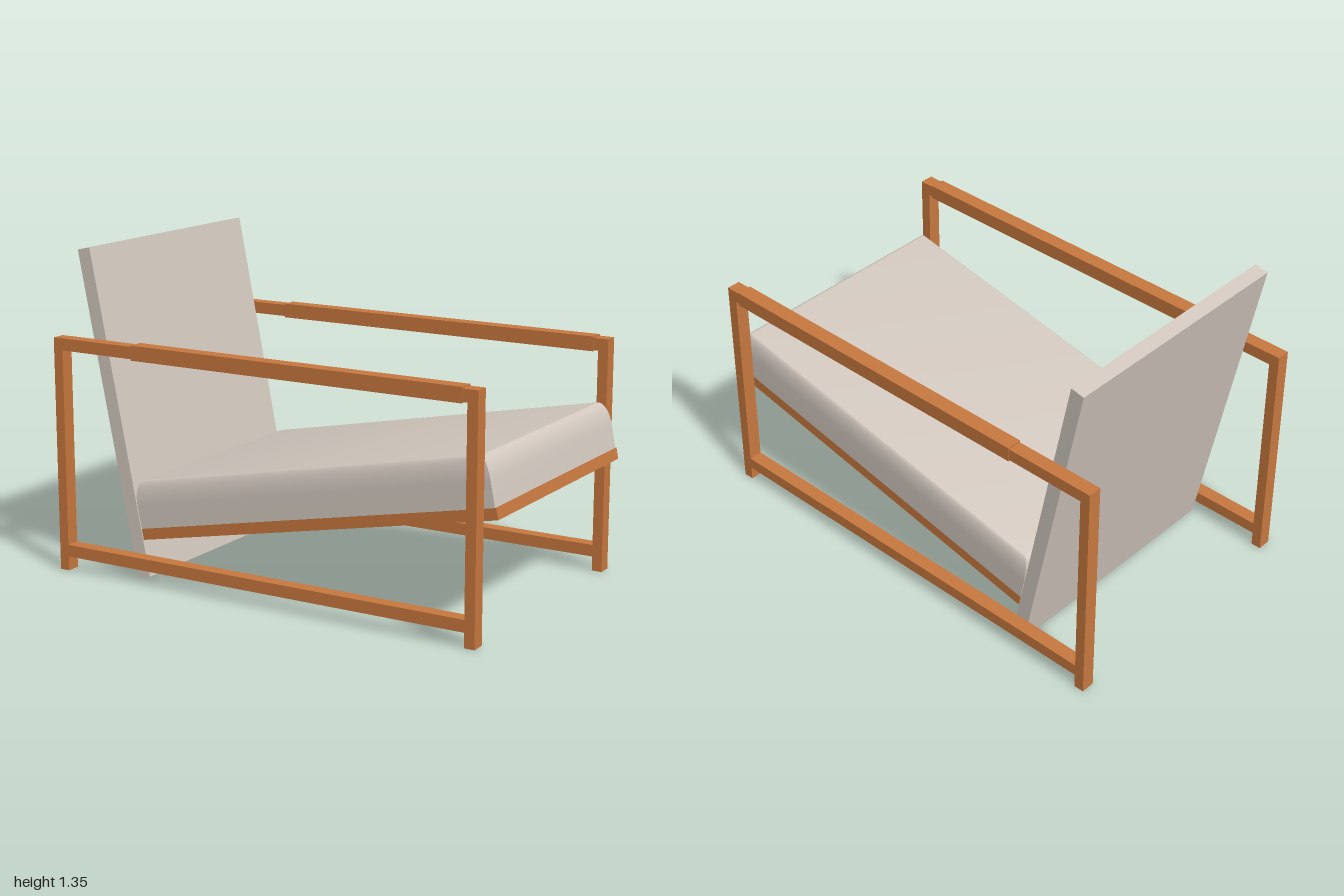
import * as THREE from 'three';
import { toCreasedNormals } from 'three/addons/utils/BufferGeometryUtils.js';

const wood = new THREE.MeshStandardMaterial({ color: 0xc8783f });
const fabric = new THREE.MeshStandardMaterial({ color: 0xd2c8bf });
const TILT = Math.atan(0.2);
const HALF_WIDTH = 0.535;

function box(name, material, x0, x1, y0, y1, z0, z1) {
  const mesh = new THREE.Mesh(new THREE.BoxGeometry(x1 - x0, y1 - y0, z1 - z0), material);
  mesh.position.set((x0 + x1) / 2, (y0 + y1) / 2, (z0 + z1) / 2);
  mesh.name = name;
  return mesh;
}

// Mitred cushion: stacked rectangles whose edges roll over in an elliptical curve
function cushionGeometry(length, halfWidth, height) {
  const rings = [[0, 0, 0]];
  const steps = 12;
  for (let i = 0; i <= steps; i++) {
    const t = (i / steps) * Math.PI / 2;
    const k = 1 - Math.cos(t);
    rings.push([height * (0.5 + 0.5 * Math.sin(t)), 0.038 * k, 0.027 * k]);
  }
  const positions = [];
  const index = [];
  for (const [y, dx, dz] of rings) {
    const x0 = dx, x1 = length - dx, z = halfWidth - dz;
    positions.push(x0, y, z, x1, y, z, x1, y, -z, x0, y, -z);
  }
  for (let r = 0; r < rings.length - 1; r++) {
    for (let c = 0; c < 4; c++) {
      const a = r * 4 + c, b = r * 4 + (c + 1) % 4;
      index.push(a, b, b + 4, a, b + 4, a + 4);
    }
  }
  const top = (rings.length - 1) * 4;
  index.push(top, top + 1, top + 2, top, top + 2, top + 3, 0, 2, 1, 0, 3, 2);
  const geometry = new THREE.BufferGeometry();
  geometry.setAttribute('position', new THREE.Float32BufferAttribute(positions, 3));
  geometry.setIndex(index);
  return toCreasedNormals(geometry, Math.PI / 7);
}

// Rectangular side frame with an armrest sleeve on the top rail
function sideFrame(side) {
  const frame = new THREE.Group();
  frame.name = side > 0 ? 'sideFrameNear' : 'sideFrameFar';
  const z0 = -0.029, z1 = 0.029;
  frame.add(
    box('backPost', wood, -1, -0.957, 0, 0.98, z0, z1),
    box('frontPost', wood, 0.896, 0.94, 0, 0.98, z0, z1),
    box('bottomRail', wood, -0.957, 0.896, 0.06, 0.11, z0, z1),
    box('topRail', wood, -0.957, 0.896, 0.93, 0.98, z0, z1),
    box('armrest', wood, -0.61, 0.875, 0.925, 0.986, -0.032, 0.032)
  );
  frame.position.z = side * 0.564;
  return frame;
}

export function createModel() {
  const model = new THREE.Group();
  model.name = 'loungeChair';
  model.add(sideFrame(1), sideFrame(-1));

  // Tilted seat: wooden board with the cushion on top
  const seat = new THREE.Group();
  seat.name = 'seat';
  const cushion = new THREE.Mesh(cushionGeometry(1.637, HALF_WIDTH, 0.197), fabric);
  cushion.name = 'seatCushion';
  seat.add(box('seatBoard', wood, 0, 1.642, -0.046, 0, -HALF_WIDTH, HALF_WIDTH), cushion);
  seat.position.set(-0.62, 0.215, 0);
  seat.rotation.z = TILT;
  model.add(seat);

  // Reclined back panel
  const back = box('backrest', fabric, -0.03, 0.03, -0.68, 0.68, -HALF_WIDTH, HALF_WIDTH);
  back.position.set(-0.747, 0.678, 0);
  back.rotation.z = TILT;
  model.add(back);

  return model;
}
